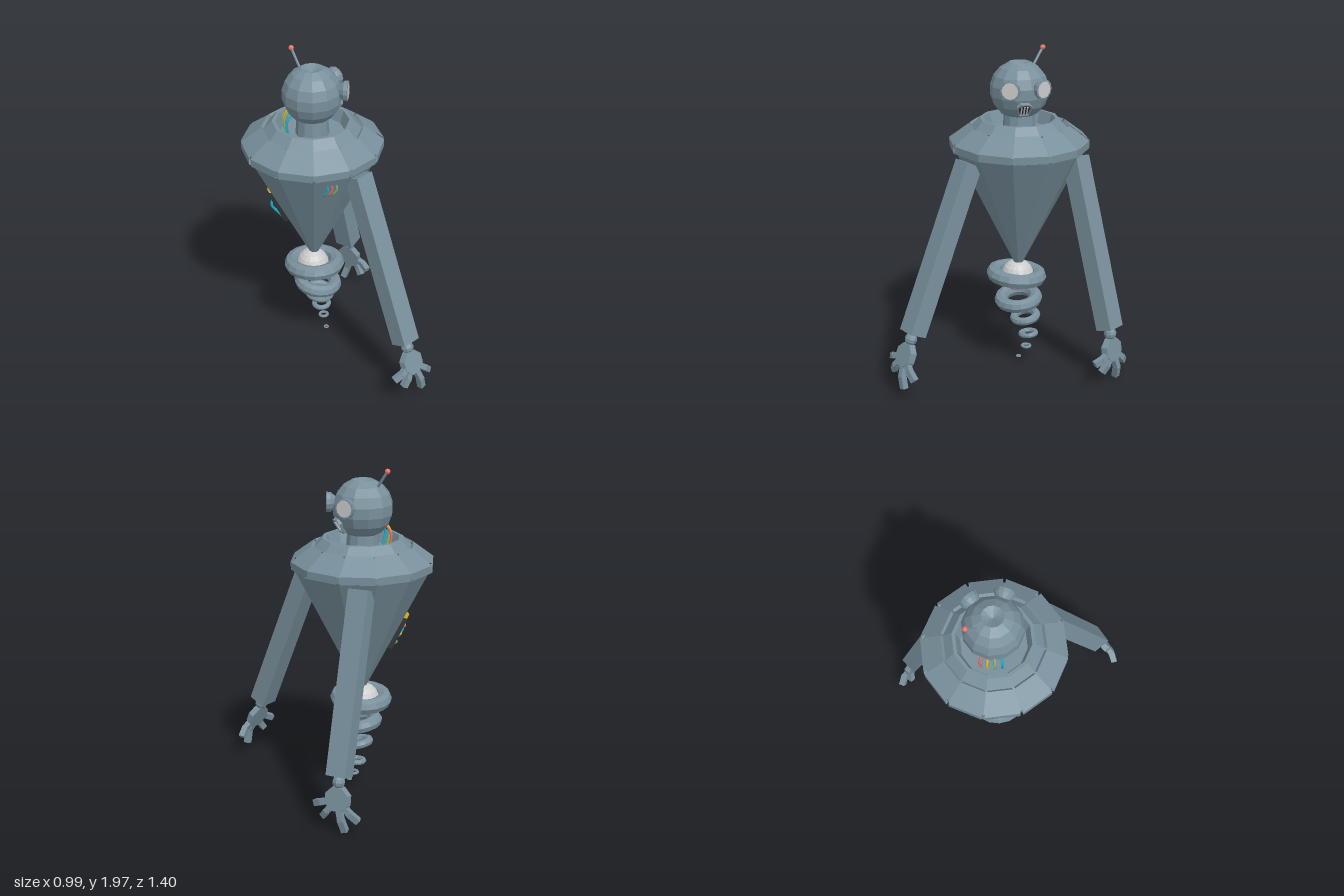
import * as THREE from 'three';

const mat = (color, flatShading = true) =>
  new THREE.MeshStandardMaterial({ color, flatShading, side: THREE.DoubleSide });
const steel = mat(0x78909c), pale = mat(0xcccccc), dark = mat(0x303436), white = mat(0xe4e4e4);
const red = mat(0xe57368, false), cyan = mat(0x18b4d0, false), yellow = mat(0xe8b820, false), green = mat(0x86b878, false);
const V = (x, y, z) => new THREE.Vector3(x, y, z);
const CX = -0.08, CZ = -0.18; // body axis

function add(parent, name, geo, material, x = 0, y = 0, z = 0) {
  const m = new THREE.Mesh(geo, material);
  m.name = name;
  m.position.set(x, y, z);
  parent.add(m);
  return m;
}
const lathe = (pts, seg = 12, start = 0, len = Math.PI * 2) =>
  new THREE.LatheGeometry(pts.map(p => new THREE.Vector2(p[0], p[1])), seg, start, len);
const tube = (pts, r) => new THREE.TubeGeometry(new THREE.CatmullRomCurve3(pts), 12, r, 6);

// Empty group whose +z points along a compass direction (angle from +x toward +z), tilted up
function facing(parent, name, x, y, z, azimuth, elevation = 0) {
  const g = new THREE.Group();
  g.name = name;
  g.position.set(x, y, z);
  g.rotation.order = 'YXZ';
  g.rotation.y = Math.PI / 2 - azimuth;
  g.rotation.x = -elevation;
  parent.add(g);
  return g;
}

function buildBody(root) {
  const body = new THREE.Group();
  body.name = 'body';
  body.position.set(CX, 0, CZ);
  root.add(body);
  add(body, 'torsoCone', lathe([[0, 0.665], [0.025, 0.67], [0.4, 1.41], [0.4, 1.445], [0.285, 1.53],
    [0.235, 1.585], [0.215, 1.585], [0.19, 1.51], [0, 1.5]]), steel);
  // Shoulder plates separated by narrow grooves
  const step = Math.PI / 6, gap = 0.022;
  for (let i = 0; i < 12; i++)
    add(body, 'shoulderPlate', lathe([[0.385, 1.4], [0.417, 1.41], [0.418, 1.455], [0.298, 1.545], [0.28, 1.525]],
      1, i * step + gap, step - 2 * gap), steel);
  add(body, 'neck', new THREE.CylinderGeometry(0.09, 0.1, 0.14, 12), steel, 0, 1.56, 0);
}

function buildHead(root) {
  const head = new THREE.Group();
  head.name = 'head';
  head.position.set(CX, 1.755, CZ);
  root.add(head);
  const R = 0.176, profile = [[0, -0.17]];
  for (let i = 0; i <= 7; i++) {
    const a = THREE.MathUtils.lerp(-70, 69, i / 7) * Math.PI / 180;
    profile.push([R * Math.cos(a), R * Math.sin(a)]);
  }
  profile.push([0, 0.135]); // dimple in the crown
  add(head, 'skull', lathe(profile, 12), steel);

  // Flared eyes with pale lenses
  for (const az of [-0.32, 0.7]) {
    const eye = facing(head, 'eye', 0, 0.033, 0, az);
    const cup = lathe([[0.028, 0.13], [0.034, 0.155], [0.058, 0.185], [0.06, 0.208], [0.05, 0.21], [0.048, 0.2]], 12);
    add(eye, 'eyeCup', cup.rotateX(Math.PI / 2), steel);
    add(eye, 'lens', new THREE.CylinderGeometry(0.05, 0.05, 0.008, 12).rotateX(Math.PI / 2), pale, 0, 0, 0.204);
  }

  // Grille mouth
  const mouth = facing(head, 'mouth', 0, 0, 0, 0.24, -0.54);
  const outline = s => [[-0.045, 0.025], [-0.025, 0.046], [0.025, 0.046], [0.045, 0.025], [0.03, -0.045], [-0.03, -0.045]]
    .map(p => new THREE.Vector2(p[0] * s, p[1] * s));
  const frame = new THREE.Shape(outline(1));
  frame.holes.push(new THREE.Path(outline(0.8)));
  add(mouth, 'mouthFrame', new THREE.ExtrudeGeometry(frame, { depth: 0.035, bevelEnabled: false }), steel, 0, 0, 0.148);
  add(mouth, 'mouthBack', new THREE.ShapeGeometry(new THREE.Shape(outline(0.85))), dark, 0, 0, 0.173);
  for (let i = -1; i <= 1; i++)
    add(mouth, 'mouthBar', new THREE.BoxGeometry(0.007, 0.055, 0.006), pale, i * 0.017, -0.003, 0.178);

  // Antenna
  const base = V(-0.02, 0.125, -0.095), tip = V(-0.035, 0.23, -0.167);
  add(head, 'antennaRod', tube([base, base.clone().lerp(tip, 0.5), tip], 0.008), steel);
  add(head, 'antennaBall', new THREE.SphereGeometry(0.016, 12, 8), red, tip.x, tip.y, tip.z);
}

// Three-point arching cables from collar to the back of the head
function buildNeckCables(root) {
  [cyan, green, yellow, red].forEach((m, i) => {
    const a = Math.PI * (1.02 + i * 0.085);
    const at = (r, y) => V(CX + r * Math.cos(a), y, CZ + r * Math.sin(a));
    add(root, 'neckCable', tube([at(0.15, 1.51), at(0.165, 1.6), at(0.14, 1.65), at(0.11, 1.65)], 0.007), m);
  });
}

function buildPanels(root) {
  const slope = -0.46; // cone wall leans outward going up
  // Wiring on the front of the torso
  const wires = facing(root, 'frontWiring', CX - 0.075, 1.3, CZ + 0.312, Math.PI / 2 + 0.26, slope);
  add(wires, 'wiringBack', new THREE.BoxGeometry(0.085, 0.125, 0.01), dark, 0, 0, -0.004);
  [cyan, red, green].forEach((m, i) => {
    const x = (i - 1) * 0.027;
    add(wires, 'wire', tube([V(x, -0.065, 0), V(x - 0.008, -0.03, 0.016), V(x + 0.007, 0.02, 0.018), V(x, 0.065, 0)], 0.007), m);
  });
  // Control box on the back of the torso
  const a = Math.PI * 1.25 - 0.2, r = 0.195;
  const box = facing(root, 'controlBox', CX + r * Math.cos(a), 1.01, CZ + r * Math.sin(a), a, slope);
  add(box, 'boxShell', new THREE.BoxGeometry(0.085, 0.2, 0.05), dark);
  add(box, 'boxCap', new THREE.BoxGeometry(0.04, 0.03, 0.04), yellow, -0.01, 0.115, 0.005);
  [red, yellow, green].forEach((m, i) =>
    add(box, 'indicator', new THREE.SphereGeometry(0.016, 10, 8), m, -0.015, 0.055 - i * 0.055, 0.027));
  add(box, 'boxCable', tube([V(0.025, 0.07, 0.02), V(0.03, 0.03, 0.045), V(0.018, -0.02, 0.04), V(0.03, -0.07, 0.02)], 0.008), cyan);
}

// Palm with four two-part fingers, hanging along local -y
function buildHand(parent) {
  const hand = new THREE.Group();
  hand.name = 'hand';
  parent.add(hand);
  add(hand, 'wristBall', new THREE.SphereGeometry(0.038, 8, 6), steel, 0, -0.035, 0);
  const palm = new THREE.CylinderGeometry(0.075, 0.08, 0.04, 8).rotateY(Math.PI / 8).rotateX(Math.PI / 2);
  add(hand, 'palm', palm, steel, 0, -0.135, 0);
  for (const [deg, len] of [[-70, 0.155], [-37, 0.15], [14, 0.195], [48, 0.17]]) {
    const finger = new THREE.Group();
    finger.name = 'finger';
    finger.position.set(0, -0.135, 0);
    finger.rotation.z = deg * Math.PI / 180;
    hand.add(finger);
    const half = (len - 0.05) / 2;
    add(finger, 'knuckle', new THREE.BoxGeometry(0.034, half + 0.02, 0.034), steel, 0, -0.05 - half / 2, 0);
    const end = new THREE.BoxGeometry(0.036, half + 0.01, 0.036).translate(0, -half / 2, 0);
    add(finger, 'fingertip', end, steel, 0, -0.05 - half, 0).rotation.x = 0.4;
  }
  return hand;
}

function buildArm(root, name, top, end, handTilt) {
  const d = end.clone().sub(top), length = d.length();
  const arm = facing(root, name, end.x, end.y, end.z, Math.atan2(d.z, d.x));
  arm.rotation.x = -Math.atan2(Math.hypot(d.x, d.z), -d.y); // local -y runs down the arm
  add(arm, 'armBeam', new THREE.BoxGeometry(0.12, length, 0.11), steel, 0, length / 2, 0);
  buildHand(arm).rotation.x = handTilt;
}

// Floating rings of shrinking size: x, y, z, outer radius, tube radius, tilt x, tilt z
function buildRings(root) {
  for (const [x, y, z, R, t, rx, rz] of [
    [-0.085, 0.595, -0.17, 0.185, 0.046, -0.08, -0.03],
    [-0.06, 0.445, -0.172, 0.148, 0.04, 0.13, -0.1],
    [-0.03, 0.33, -0.205, 0.095, 0.025, 0.2, -0.06],
    [-0.008, 0.22, -0.217, 0.062, 0.016, 0.06, 0.05],
    [-0.003, 0.14, -0.2, 0.034, 0.009, -0.03, 0],
    [-0.012, 0.075, -0.153, 0.017, 0.005, 0.05, 0]]) {
    const ring = add(root, 'hoverRing', new THREE.TorusGeometry(R - t, t, 8, 18).rotateX(Math.PI / 2), steel, x, y, z);
    ring.rotation.set(rx, 0, rz);
  }
}

export function createModel() {
  const root = new THREE.Group();
  root.name = 'hoverRobot';
  buildBody(root);
  buildHead(root);
  buildNeckCables(root);
  buildPanels(root);
  add(root, 'hoverBall', new THREE.SphereGeometry(0.1, 16, 10), white, -0.09, 0.585, -0.18);
  buildRings(root);
  buildArm(root, 'leftArm', V(0.005, 1.37, 0.18), V(0.09, 0.4, 0.58), 0);
  buildArm(root, 'rightArm', V(0.15, 1.37, -0.44), V(0.41, 0.36, -0.557), 0.12);
  return root;
}
